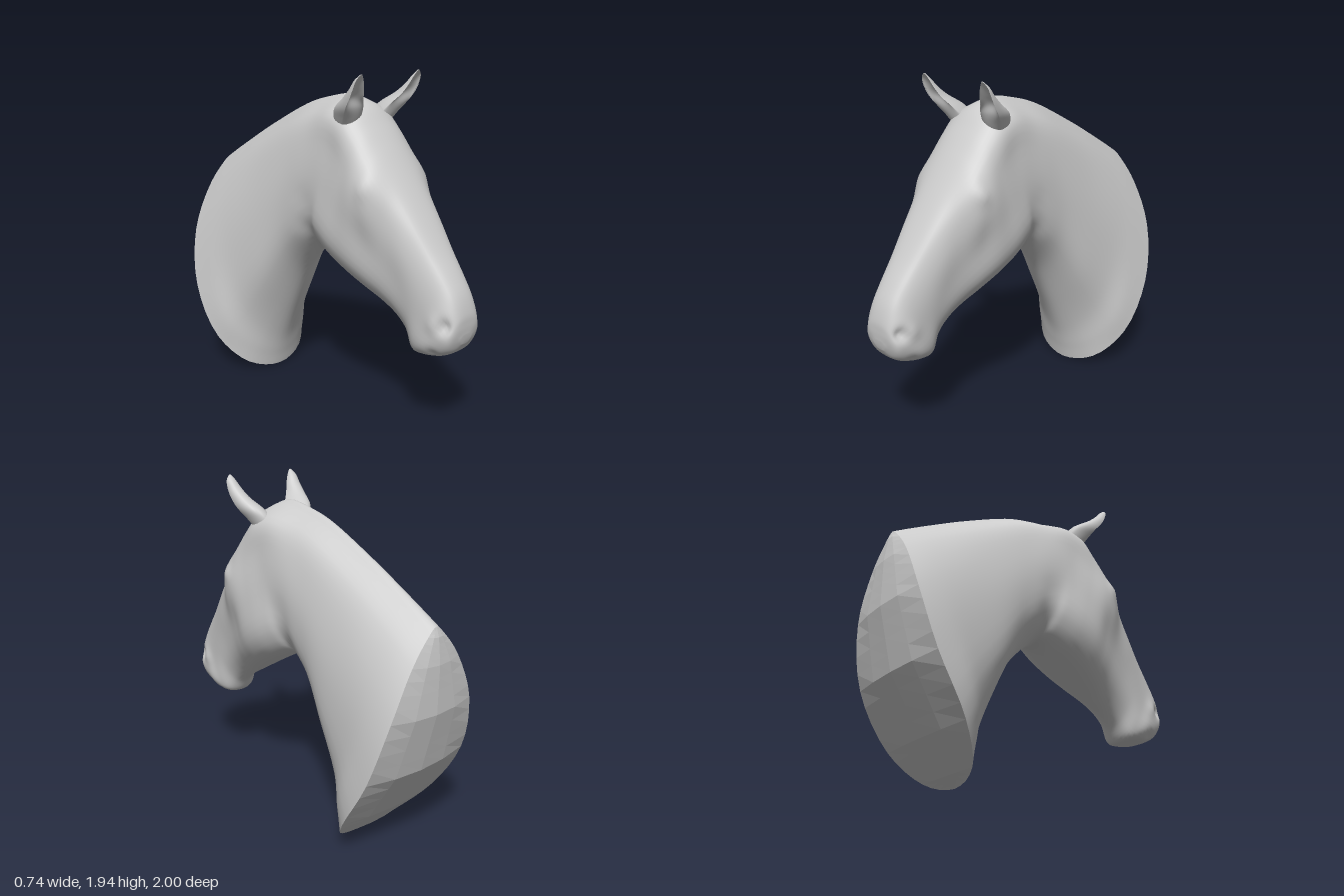
import * as THREE from 'three';

const SUB = 4;    // samples between neighbouring section stations
const STEPS = 6;  // rings between neighbouring sections
const STATIONS = [0, 0.03, 0.12, 0.3, 0.55, 0.8, 0.95, 1];

// Each section: top z, top y, bottom z, bottom y, backward bow, six half widths going down
const NECK = [
  [-0.96, 1.325, -0.49, 0.005, 0.18, 0.06, 0.17, 0.295, 0.365, 0.35, 0.215],
  [-0.86, 1.385, -0.47, 0.1, 0.12, 0.055, 0.165, 0.275, 0.335, 0.325, 0.185],
  [-0.72, 1.465, -0.43, 0.24, 0.06, 0.05, 0.155, 0.25, 0.295, 0.27, 0.14],
  [-0.5, 1.585, -0.34, 0.46, 0, 0.045, 0.145, 0.22, 0.26, 0.235, 0.11],
  [-0.2, 1.73, -0.22, 0.71, 0, 0.04, 0.14, 0.2, 0.23, 0.2, 0.095],
  [0, 1.79, -0.1, 0.86, 0, 0.04, 0.145, 0.2, 0.222, 0.195, 0.095],
  [0.17, 1.815, -0.02, 0.925, 0, 0.05, 0.175, 0.205, 0.22, 0.2, 0.1],
];
const HEAD = [
  [0.29, 1.765, 0.04, 0.935, 0, 0.115, 0.2, 0.212, 0.228, 0.225, 0.14],
  [0.38, 1.67, 0.15, 0.885, 0, 0.13, 0.205, 0.232, 0.245, 0.24, 0.16],
  [0.46, 1.57, 0.27, 0.82, 0, 0.125, 0.21, 0.255, 0.25, 0.23, 0.15],
  [0.53, 1.475, 0.38, 0.755, 0, 0.125, 0.215, 0.245, 0.215, 0.195, 0.12],
  [0.62, 1.35, 0.48, 0.695, 0, 0.11, 0.165, 0.19, 0.178, 0.155, 0.085],
  [0.72, 1.21, 0.57, 0.64, 0, 0.1, 0.14, 0.165, 0.155, 0.13, 0.07],
  [0.82, 1.07, 0.645, 0.575, 0, 0.085, 0.12, 0.145, 0.145, 0.12, 0.07],
  [0.91, 0.95, 0.7, 0.495, 0, 0.075, 0.11, 0.135, 0.14, 0.13, 0.09],
  [0.965, 0.86, 0.78, 0.495, 0, 0.07, 0.105, 0.135, 0.145, 0.14, 0.1],
  [0.995, 0.77, 0.88, 0.515, 0, 0.065, 0.1, 0.13, 0.135, 0.12, 0.09],
  [1, 0.71, 0.95, 0.55, 0, 0.06, 0.085, 0.105, 0.11, 0.095, 0.065],
  [0.998, 0.655, 0.988, 0.605, 0, 0.02, 0.03, 0.04, 0.04, 0.03, 0.02],
];

// Local shaping on both sides: x, y, z, radius, push outward
const SHAPING = [
  [0.13, 0.71, 0.945, 0.035, -0.03],   // nostril
  [0.13, 0.71, 0.88, 0.04, 0.01],      // nostril rim
  [0.25, 1.37, 0.47, 0.045, 0.015],    // eye
  [0.23, 1.2, 0, 0.08, -0.01],         // hollow behind the cheek
  [0.2, 1.06, -0.03, 0.07, -0.015],    // throat crease behind the jaw
  [0.12, 0.54, 0.87, 0.03, -0.012],    // corner of the mouth
];

const grey = (extra = {}) => new THREE.MeshStandardMaterial({ color: 0xcccccc, ...extra });

// Closed ring: down the +x side from the crest, then back up the other side
function sectionRing([tz, ty, bz, by, bow, ...w]) {
  const widths = [0, ...w, 0];
  const len = Math.hypot(bz - tz, by - ty);
  const nz = (by - ty) / len, ny = -(bz - tz) / len;
  const at = (i, side) => {
    const v = STATIONS[i], b = bow * Math.sin(Math.PI * v);
    return new THREE.Vector3(side * widths[i], ty + (by - ty) * v + ny * b, tz + (bz - tz) * v + nz * b);
  };
  const pts = STATIONS.map((_, i) => at(i, 1));
  for (let i = STATIONS.length - 2; i > 0; i--) pts.push(at(i, -1));
  const curve = new THREE.CatmullRomCurve3(pts, true);
  const n = pts.length * SUB;
  return Array.from({ length: n }, (_, i) => curve.getPoint(i / n));
}

// Smooth rings along the sections
function smoothRings(rings) {
  const count = (rings.length - 1) * STEPS;
  const curves = rings[0].map((_, i) =>
    new THREE.CatmullRomCurve3(rings.map(r => r[i]), false, 'catmullrom', 0.5));
  return Array.from({ length: count + 1 }, (_, j) => curves.map(c => c.getPoint(j / count)));
}

function build(points, index) {
  const g = new THREE.BufferGeometry().setFromPoints(points);
  g.setIndex(index);
  g.computeVertexNormals();
  return g;
}

// Skin over closed rings, with the last ring closed by a fan
function loft(rings) {
  const n = rings[0].length, pts = rings.flat(), index = [];
  for (let j = 0; j < rings.length - 1; j++) {
    for (let i = 0; i < n; i++) {
      const a = j * n + i, c = j * n + (i + 1) % n;
      index.push(a, a + n, c, a + n, c + n, c);
    }
  }
  const last = rings[rings.length - 1], start = (rings.length - 1) * n;
  const mid = new THREE.Vector3();
  last.forEach(p => mid.addScaledVector(p, 1 / n));
  pts.push(mid);
  for (let i = 0; i < n; i++) index.push(start + i, pts.length - 1, start + (i + 1) % n);
  return build(pts, index);
}

function shapeSides(p) {
  const side = Math.sign(p.x);
  let push = 0;
  for (const [x, y, z, r, d] of SHAPING) {
    const q = ((Math.abs(p.x) - x) ** 2 + (p.y - y) ** 2 + (p.z - z) ** 2) / (r * r);
    push += d * Math.exp(-q);
  }
  p.x += side * push;
}

// Plate closing the cut of the neck: broad flat facets inside, exact rim outside
function backPlate(ring) {
  const half = ring.length / 2, cols = 4, pts = [], index = [];
  const at = (i, f) => {
    const p = ring[i], b = 0.04 * Math.sin(Math.PI * i / half) * (1 - f * f);
    return new THREE.Vector3(p.x * f, p.y - 0.34 * b, p.z - 0.94 * b);
  };
  for (let i = 0; i <= half; i++) {
    const lo = i - i % SUB, hi = Math.min(lo + SUB, half);
    for (let k = 0; k <= cols; k++) {
      const f = k / cols * 2 - 1;
      pts.push(Math.abs(f) === 1 ? at(i, f) : at(lo, f).lerp(at(hi, f), (i - lo) / SUB));
    }
  }
  for (let i = 0; i < half; i++) {
    for (let k = 0; k < cols; k++) {
      const a = i * (cols + 1) + k, b = a + cols + 1;
      index.push(a, a + 1, b, a + 1, b + 1, b);
    }
  }
  return build(pts, index);
}

// Ear sections: x, y, z, half width, depth, front factor (negative is hollow)
const EAR = [
  [0.125, 1.65, 0.25, 0.05, 0.08, 0.6],
  [0.143, 1.71, 0.295, 0.066, 0.115, 0.3],
  [0.172, 1.765, 0.345, 0.068, 0.125, 0.05],
  [0.2, 1.82, 0.388, 0.053, 0.085, -0.35],
  [0.214, 1.87, 0.415, 0.042, 0.052, -0.5],
  [0.222, 1.915, 0.432, 0.028, 0.03, -0.4],
  [0.22, 1.945, 0.442, 0.006, 0.006, 0.5],
];

function ear(side) {
  const n = 24;
  const rings = EAR.map(([x, y, z, rx, rz, front]) => Array.from({ length: n }, (_, i) => {
    const a = i / n * Math.PI * 2, s = Math.sin(a);
    return new THREE.Vector3(side * x + rx * Math.cos(a), y, z + rz * s * (s > 0 ? front : 1));
  }));
  return loft(smoothRings(rings));
}

export function createModel() {
  const group = new THREE.Group();
  const add = (name, geometry, material = grey()) => {
    const mesh = new THREE.Mesh(geometry, material);
    mesh.name = name;
    group.add(mesh);
  };

  // Neck and head as one continuous skin
  const rings = smoothRings([...NECK, ...HEAD].map(sectionRing));
  rings.flat().forEach(shapeSides);
  add('neckAndHead', loft(rings));
  add('backPlate', backPlate(rings[0]), grey({ flatShading: true }));

  // Ears
  add('leftEar', ear(1), grey({ side: THREE.DoubleSide }));
  add('rightEar', ear(-1), grey({ side: THREE.DoubleSide }));
  return group;
}
